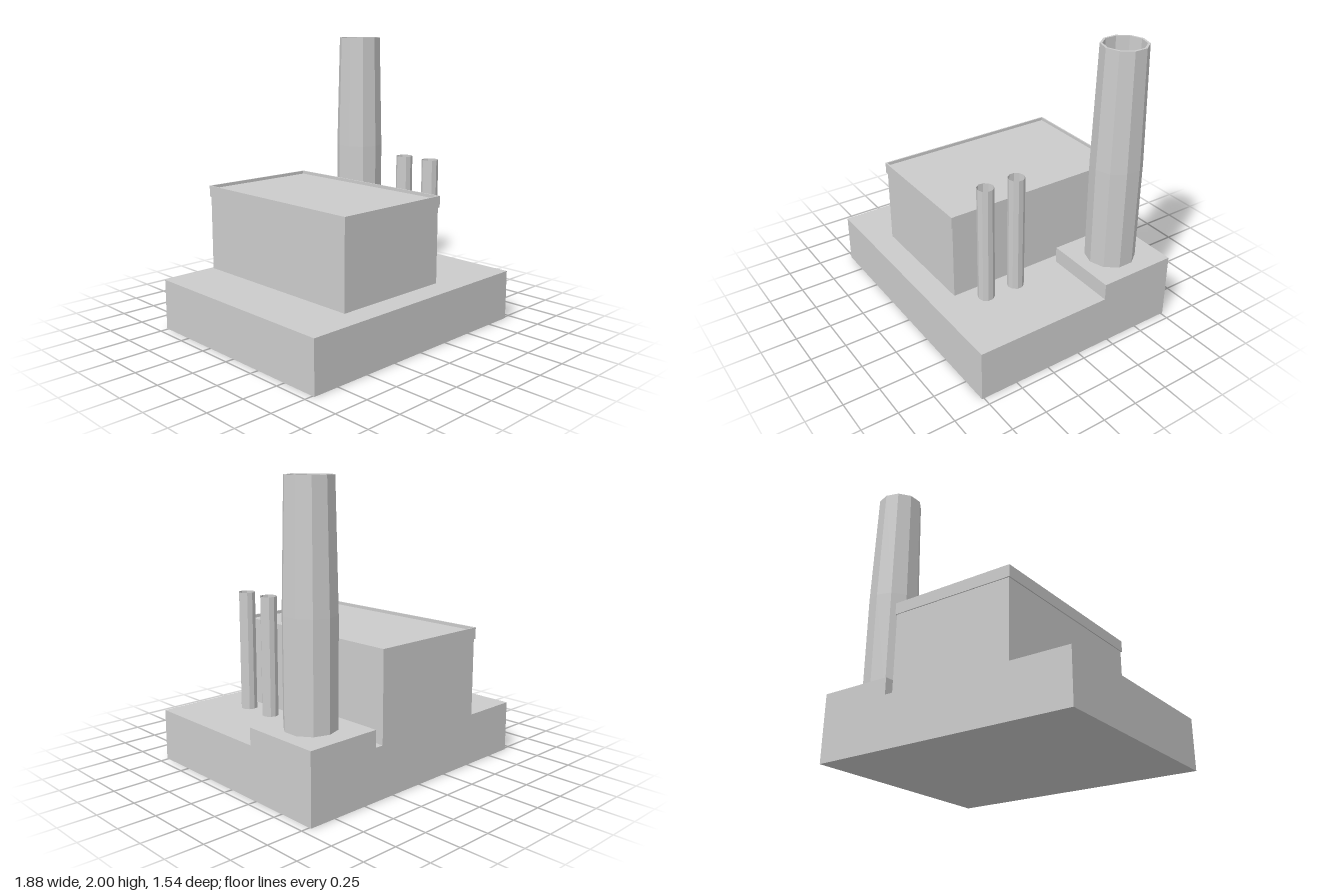
import * as THREE from 'three';

const mat = new THREE.MeshStandardMaterial({ color: 0xcccccc, flatShading: true });
const openMat = new THREE.MeshStandardMaterial({ color: 0xcccccc, flatShading: true, side: THREE.DoubleSide });

export function createModel() {
  const group = new THREE.Group();

  const add = (name, geometry, material = mat) => {
    const mesh = new THREE.Mesh(geometry, material);
    mesh.name = name;
    group.add(mesh);
    return mesh;
  };

  // Box given by its extents on each axis
  const block = (name, [x0, x1], [y0, y1], [z0, z1]) =>
    add(name, new THREE.BoxGeometry(x1 - x0, y1 - y0, z1 - z0))
      .position.set((x0 + x1) / 2, (y0 + y1) / 2, (z0 + z1) / 2);

  block('base', [-0.94, 0.94], [0, 0.355], [-0.765, 0.765]);
  block('chimneyPlinth', [0.41, 0.94], [0.355, 0.47], [-0.765, -0.205]);
  block('building', [-0.53, 0.35], [0.355, 0.945], [-0.765, 0.595]);

  // Thin parapet standing just above the roof
  const rectangle = (path, x0, x1, z0, z1) =>
    path.moveTo(x0, -z1).lineTo(x1, -z1).lineTo(x1, -z0).lineTo(x0, -z0).closePath();
  const outline = rectangle(new THREE.Shape(), -0.538, 0.358, -0.772, 0.604);
  outline.holes.push(rectangle(new THREE.Path(), -0.528, 0.348, -0.762, 0.593));
  const parapet = new THREE.ExtrudeGeometry(outline, { depth: 0.08, bevelEnabled: false });
  parapet.rotateX(-Math.PI / 2);
  add('parapet', parapet).position.y = 0.887;

  // Hollow ten-sided chimney, straight below and tapering above
  const profile = [
    [0.173, 0.47], [0.174, 1.18], [0.154, 2], [0.138, 2], [0.121, 0.47],
  ].map(([r, y]) => new THREE.Vector2(r, y));
  add('chimney', new THREE.LatheGeometry(profile, 10), openMat).position.set(0.673, 0, -0.465);

  // Two open exhaust pipes
  for (const z of [0.42, 0.185]) {
    add('exhaustPipe', new THREE.CylinderGeometry(0.057, 0.057, 0.825, 10, 1, true), openMat)
      .position.set(0.468, 0.7675, z);
  }

  return group;
}
